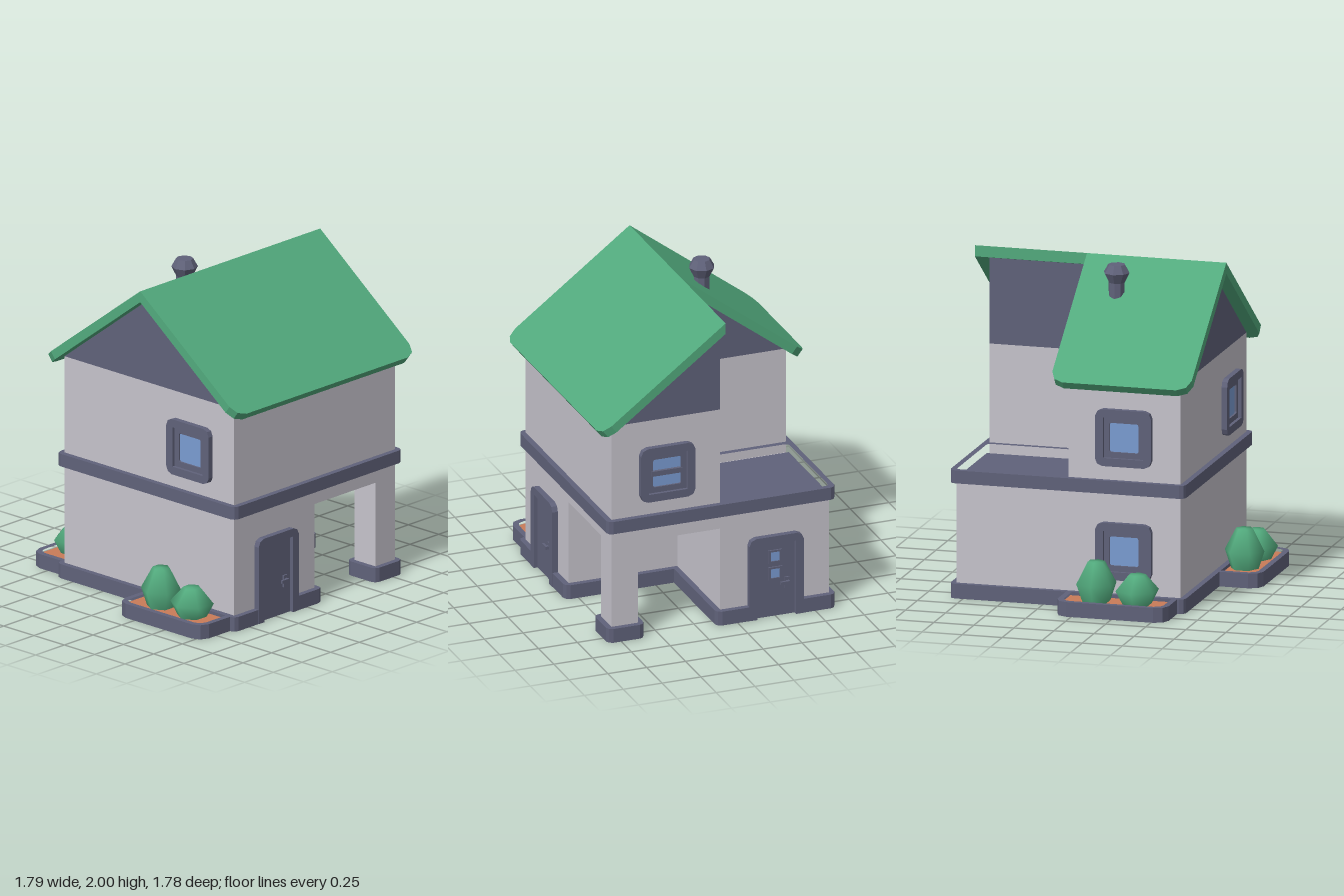
import * as THREE from 'three';

const paint = (name, color) => {
  const m = new THREE.MeshStandardMaterial({ color });
  m.name = name;
  return m;
};

// Shape from [x, y, cornerRadius] points, each corner eased with one middle point
function easedShape(pts) {
  const out = [];
  pts.forEach(([x, y, r = 0], i) => {
    const c = new THREE.Vector2(x, y);
    if (!r) return out.push(c);
    const toward = (p) => c.clone().add(new THREE.Vector2(p[0] - x, p[1] - y).setLength(r));
    const a = toward(pts[(i + pts.length - 1) % pts.length]);
    const b = toward(pts[(i + 1) % pts.length]);
    const mid = a.clone().add(b).multiplyScalar(0.5).lerp(c, 0.4);
    out.push(a, mid, b);
  });
  return new THREE.Shape(out);
}

const rect = (x0, y0, x1, y1, r = 0) => [[x0, y0, r], [x1, y0, r], [x1, y1, r], [x0, y1, r]];

// Extrude facing +z, between two depths
function plate(pts, z0, z1, hole) {
  const s = easedShape(pts);
  if (hole) s.holes.push(easedShape(hole));
  return new THREE.ExtrudeGeometry(s, { depth: z1 - z0, bevelEnabled: false }).translate(0, 0, z0);
}

// Extrude upwards from a plan given as [x, z, cornerRadius]
function slab(pts, y0, y1, hole) {
  const flip = (list) => list && list.map(([x, z, r]) => [x, -z, r]);
  return plate(flip(pts), y0, y1, flip(hole)).rotateX(-Math.PI / 2);
}

export function createModel() {
  const wall = paint('wall grey', 0xc6c3cc);
  const trim = paint('slate trim', 0x60627a);
  const green = paint('roof and leaf green', 0x52aa7d);
  const soil = paint('soil', 0xc97b58);
  const glass = paint('window glass', 0x7a9cd2);

  const house = new THREE.Group();
  house.name = 'house';
  const add = (name, geo, mat, parent = house) => {
    const m = new THREE.Mesh(geo, mat);
    m.name = name;
    parent.add(m);
    return m;
  };
  const group = (name, x, y, z, turn) => {
    const g = new THREE.Group();
    g.name = name;
    g.position.set(x, y, z);
    g.rotation.y = turn;
    house.add(g);
    return g;
  };

  // Ground floor, open at the back corner, with a post holding the upper slab
  add('groundWalls', slab([[-0.6, -0.8], [0.1, -0.8], [0.1, -0.1], [0.8, -0.1], [0.8, 0.6], [-0.6, 0.6]], 0.03, 0.63), wall);
  add('upperSlab', slab(rect(-0.6, -0.8, 0.8, 0.6), 0.62, 0.715), wall);
  add('cornerPost', slab(rect(0.63, -0.8, 0.8, -0.63), 0.05, 0.63), wall);
  add('postFoot', slab(rect(0.595, -0.835, 0.835, -0.595, 0.035), 0, 0.09), trim);

  // Plinth with gaps where the doors stand
  const e = 0.035;
  add('plinth', slab([
    [-0.635, -0.835, e], [-0.425, -0.835], [-0.425, -0.795], [-0.075, -0.795], [-0.075, -0.835],
    [0.135, -0.835, e], [0.135, -0.135], [0.835, -0.135, e],
    [0.835, 0.075], [0.795, 0.075], [0.795, 0.425], [0.835, 0.425],
    [0.835, 0.635, e], [-0.635, 0.635, e],
  ], 0, 0.09), trim);

  // Belt around the house, open over the terrace
  add('belt', slab(rect(-0.635, -0.835, 0.835, 0.635, e), 0.71, 0.79,
    rect(-0.6, -0.8, 0.065, -0.135, 0.02)), trim);
  add('terraceFloor', slab(rect(-0.61, -0.81, 0.08, -0.12), 0.712, 0.728), trim);

  // Upper floor
  add('upperWalls', slab([[-0.6, -0.1], [0.1, -0.1], [0.1, -0.8], [0.8, -0.8], [0.8, 0.6], [-0.6, 0.6]], 0.72, 1.4), wall);

  // Gable and roof halves meeting at the ridge
  const ridgeX = 0.1, ridgeY = 2, thick = 0.055, slope = Math.atan2(0.605, 0.8);
  for (const [s, back, side] of [[1, -0.8, 'left'], [-1, -0.1, 'right']]) {
    add(side + 'Gable', plate([[ridgeX, 1.4], [ridgeX + 0.7 * s, 1.4], [ridgeX, 1.93]], back, 0.6), trim);
    const geo = slab([[0, back - 0.09], [s * 1.003, back - 0.09, 0.08], [s * 1.003, 0.68, 0.08], [0, 0.68]], 0, thick);
    const p = geo.attributes.position;
    for (let i = 0; i < p.count; i++) {
      const u = Math.abs(p.getX(i)), d = thick - p.getY(i);
      const x = u * Math.cos(slope), y = ridgeY - u * Math.sin(slope);
      if (u < 1e-4) p.setXY(i, ridgeX, ridgeY - d / Math.cos(slope));
      else p.setXY(i, ridgeX + s * (x - d * Math.sin(slope)), y - d * Math.cos(slope));
    }
    geo.computeVertexNormals();
    add(side + 'Roof', geo, green);
  }

  // Chimney pipe with a faceted cap
  const chimney = group('chimney', -0.12, 0, 0.06, 0);
  const ring = (name, top, bottom, y0, y1) =>
    add(name, new THREE.CylinderGeometry(top, bottom, y1 - y0, 8).toNonIndexed()
      .translate(0, (y0 + y1) / 2, 0), trim, chimney).geometry.computeVertexNormals();
  ring('pipe', 0.05, 0.05, 1.7, 1.89);
  ring('capLower', 0.08, 0.05, 1.89, 1.95);
  ring('capUpper', 0.052, 0.08, 1.95, 2);

  // Windows: outer frame, stepped inner frame, pane and optional bars
  const windowAt = (name, x, y, z, turn, bars) => {
    const g = group(name, x, y, z, turn);
    add('outerFrame', plate(rect(-0.175, -0.175, 0.175, 0.175, 0.045), -0.01, e, rect(-0.125, -0.125, 0.125, 0.125)), trim, g);
    add('innerFrame', plate(rect(-0.13, -0.13, 0.13, 0.13), -0.01, 0.015, rect(-0.09, -0.09, 0.09, 0.09, 0.01)), trim, g);
    add('pane', plate(rect(-0.1, -0.1, 0.1, 0.1), -0.003, 0.003), glass, g);
    if (bars) add('crossBar', plate(rect(-0.1, -0.016, 0.1, 0.016), 0, 0.022), trim, g);
  };
  windowAt('frontWindow', 0.447, 1.055, 0.6, 0);
  windowAt('backWindow', 0.447, 1.055, -0.8, Math.PI, true);
  windowAt('upperSideWindow', -0.6, 1.055, 0.25, -Math.PI / 2);
  windowAt('lowerSideWindow', -0.6, 0.355, 0.25, -Math.PI / 2);

  // Doors: frame, recessed leaf, handle and optional small panes
  const doorAt = (name, x, z, turn, panes) => {
    const g = group(name, x, 0, z, turn);
    add('frame', plate([
      [-0.175, 0], [-0.125, 0], [-0.125, 0.48], [0.125, 0.48], [0.125, 0], [0.175, 0],
      [0.175, 0.53, 0.045], [-0.175, 0.53, 0.045],
    ], -0.01, 0.037), trim, g);
    add('leaf', plate(rect(-0.13, 0, 0.13, 0.49), -0.01, 0.012), trim, g);
    add('handlePlate', plate(rect(0.06, 0.17, 0.09, 0.245), 0.01, 0.022), trim, g);
    add('handleLever', plate(rect(0.025, 0.205, 0.085, 0.225), 0.03, 0.044), trim, g);
    add('handleStem', plate(rect(0.065, 0.205, 0.085, 0.225), 0.02, 0.035), trim, g);
    if (panes) for (const y of [0.28, 0.39]) {
      add('paneFrame', plate(rect(-0.047, y - 0.042, 0.043, y + 0.042), 0.01, 0.022,
        rect(-0.032, y - 0.03, 0.028, y + 0.03)), trim, g);
      add('smallPane', plate(rect(-0.035, y - 0.033, 0.031, y + 0.033), 0.01, 0.015), glass, g);
    }
  };
  doorAt('sideDoor', 0.8, 0.25, Math.PI / 2);
  doorAt('backDoor', -0.25, -0.8, Math.PI, true);

  // Planters with a tall and a short bush
  const bush = (name, x, r, mid, top, parent) => {
    const profile = [[0.08, 0.05], [r, mid], [0.053, top], [0, top]].map(([a, b]) => new THREE.Vector2(a, b));
    add(name, new THREE.LatheGeometry(profile, 6), green, parent).position.set(x, 0, 0.13);
  };
  const planterAt = (name, x, z, turn) => {
    const g = group(name, x, 0, z, turn);
    const outline = (w, d, r) => [[-w, 0], [w, 0], [w, d, r], [-w, d, r]];
    add('box', slab(outline(0.347, 0.29, 0.075), 0, 0.0901, [
      [-0.312, 0.034], [0.312, 0.034], [0.312, 0.255, 0.05], [-0.312, 0.255, 0.05],
    ]), trim, g);
    add('soil', slab(outline(0.32, 0.262, 0.06), 0.002, 0.07), soil, g);
    bush('tallBush', -0.13, 0.124, 0.18, 0.315, g);
    bush('shortBush', 0.125, 0.134, 0.155, 0.25, g);
  };
  planterAt('frontPlanter', 0.45, 0.6, 0);
  planterAt('sidePlanter', -0.6, 0.242, -Math.PI / 2);

  return house;
}
